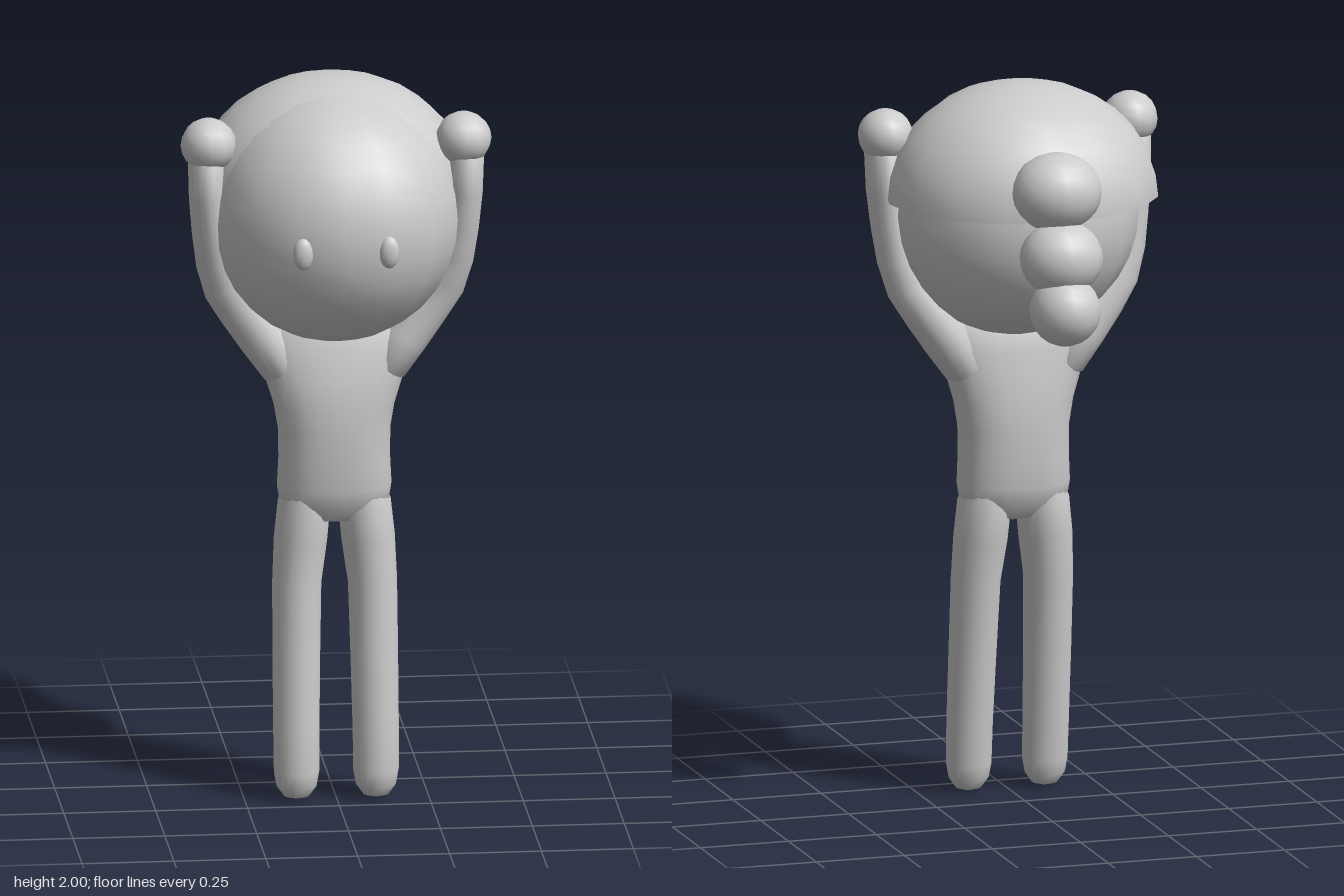
import * as THREE from 'three';

const skin = new THREE.MeshStandardMaterial({ color: 0xcccccc });
skin.name = 'light grey';
const hairShell = new THREE.MeshStandardMaterial({ color: 0xcccccc, side: THREE.DoubleSide });
hairShell.name = 'light grey shell';

// Smooth skin over oval rings; each row is [x, y, z, half width, half depth]
function loft(rows, sides = 20, power = 1) {
  const pos = [], index = [];
  rows.forEach(([x, y, z, rx, rz], i) => {
    const a = rows[Math.max(i - 1, 0)], b = rows[Math.min(i + 1, rows.length - 1)];
    const len = Math.hypot(b[0] - a[0], b[1] - a[1]);
    const tx = (b[0] - a[0]) / len, ty = (b[1] - a[1]) / len;
    for (let k = 0; k < sides; k++) {
      const t = (k / sides) * Math.PI * 2, c = Math.cos(t), s = Math.sin(t);
      const u = Math.sign(c) * Math.abs(c) ** power * rx;
      const v = Math.sign(s) * Math.abs(s) ** power * rz;
      pos.push(x + u * ty, y - u * tx, z + v);
      if (i < rows.length - 1) {
        const p = i * sides + k, q = i * sides + ((k + 1) % sides);
        index.push(p, p + sides, q, q, p + sides, q + sides);
      }
    }
  });
  const g = new THREE.BufferGeometry();
  g.setAttribute('position', new THREE.Float32BufferAttribute(pos, 3));
  g.setIndex(index);
  g.computeVertexNormals();
  return g;
}

export function createModel() {
  const model = new THREE.Group();
  model.name = 'figure';

  const add = (name, geometry, material = skin) => {
    const m = new THREE.Mesh(geometry, material);
    m.name = name;
    model.add(m);
    return m;
  };
  const ball = (name, [x, y, z], [rx, ry, rz], w = 16, h = 12) => {
    const m = add(name, new THREE.SphereGeometry(1, w, h));
    m.position.set(x, y, z);
    m.scale.set(rx, ry, rz);
    return m;
  };

  // Head and hair
  ball('head', [0, 1.632, 0.115], [0.345, 0.347, 0.345], 16, 16);
  const cap = add('hairCap',
    new THREE.SphereGeometry(1, 16, 8, 0, Math.PI * 2, 0, Math.PI / 2), hairShell);
  cap.position.set(0, 1.685, 0.03);
  cap.scale.set(0.375, 0.315, 0.345);

  // Braid of three balls
  ball('braidTop', [0, 1.765, -0.285], [0.125, 0.108, 0.11]);
  ball('braidMiddle', [0, 1.59, -0.328], [0.115, 0.103, 0.103]);
  ball('braidEnd', [0, 1.452, -0.362], [0.097, 0.097, 0.1]);

  // Torso widening into the shoulders
  add('torso', loft([
    [0, 0.765, 0.107, 0.01, 0.01],
    [0, 0.78, 0.107, 0.1, 0.06],
    [0, 0.82, 0.106, 0.148, 0.092],
    [0, 0.87, 0.105, 0.156, 0.102],
    [0, 0.95, 0.105, 0.152, 0.109],
    [0, 1.03, 0.105, 0.153, 0.11],
    [0, 1.1, 0.105, 0.165, 0.109],
    [0, 1.18, 0.105, 0.19, 0.098],
    [0, 1.25, 0.1, 0.215, 0.082],
    [0, 1.31, 0.098, 0.225, 0.068],
    [0, 1.35, 0.098, 0.19, 0.045],
    [0, 1.37, 0.098, 0.01, 0.01],
  ], 24, 0.88));

  for (const [side, s] of [['left', 1], ['right', -1]]) {
    const mirror = (rows) => rows.map(([x, ...rest]) => [x * s, ...rest]);

    // Raised arm and round hand
    add(side + 'Arm', loft(mirror([
      [0.11, 1.15, 0.1, 0.01, 0.01],
      [0.14, 1.2, 0.1, 0.06, 0.075],
      [0.19, 1.285, 0.1, 0.07, 0.074],
      [0.25, 1.365, 0.1, 0.066, 0.063],
      [0.295, 1.43, 0.11, 0.062, 0.062],
      [0.322, 1.51, 0.124, 0.057, 0.064],
      [0.339, 1.6, 0.138, 0.052, 0.068],
      [0.35, 1.7, 0.15, 0.05, 0.072],
      [0.354, 1.8, 0.155, 0.049, 0.072],
      [0.354, 1.83, 0.155, 0.01, 0.01],
    ])));
    ball(side + 'Hand', [0.347 * s, 1.847, 0.155], [0.076, 0.073, 0.081], 12, 10);

    // Leg with a rounded foot end
    add(side + 'Leg', loft(mirror([
      [0.108, 0.003, 0.165, 0.003, 0.003],
      [0.108, 0.012, 0.165, 0.035, 0.032],
      [0.108, 0.04, 0.164, 0.055, 0.05],
      [0.108, 0.08, 0.163, 0.062, 0.058],
      [0.108, 0.2, 0.155, 0.063, 0.064],
      [0.106, 0.4, 0.135, 0.065, 0.067],
      [0.103, 0.6, 0.117, 0.067, 0.073],
      [0.092, 0.72, 0.108, 0.073, 0.08],
      [0.082, 0.82, 0.105, 0.072, 0.088],
      [0.075, 0.92, 0.105, 0.04, 0.06],
    ])));

    // Small oval eye
    ball(side + 'Eye', [0.117 * s, 1.61, 0.435], [0.028, 0.045, 0.02], 12, 10);
  }

  return model;
}
